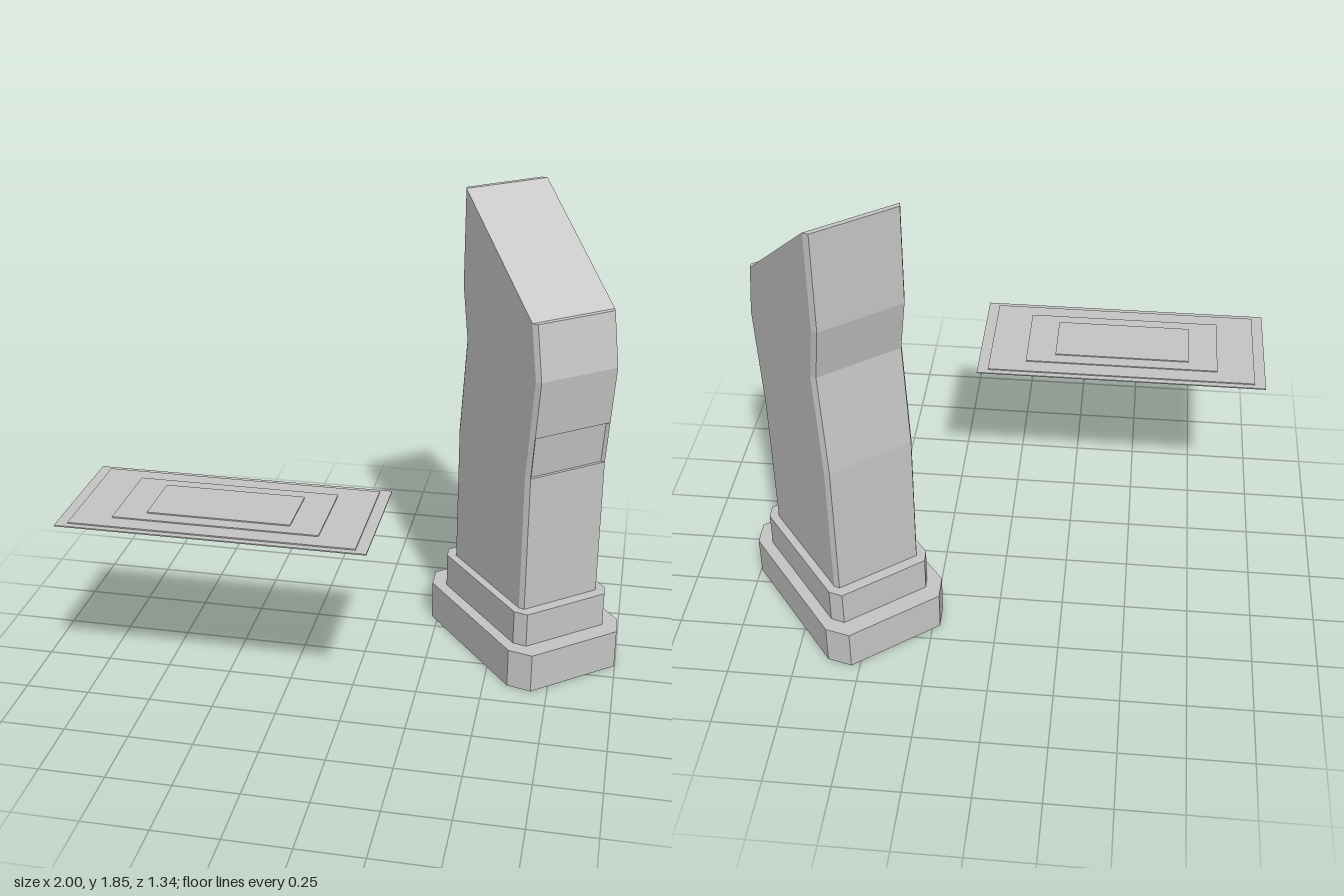
import * as THREE from 'three';

const stone = new THREE.MeshStandardMaterial({ color: 0xc6c6c6 });
stone.name = 'paleGrey';

// Chamfered rectangle, counter-clockwise from above, starting at the front edge.
// w, d: half width and half depth; a, b: half lengths of the straight edges.
function ring(w, d, a, b, y, shift = 0) {
  return [[-a, d], [a, d], [w, b], [w, -b], [a, -d], [-a, -d], [-w, -b], [-w, b]]
    .map(([x, z]) => new THREE.Vector3(x, typeof y === 'function' ? y(z) : y, z + shift));
}

// Collects flat faces, leaving out collapsed triangles
function faceBuilder() {
  const pos = [];
  const tri = (...p) => {
    if (new THREE.Triangle(...p).getArea() > 1e-7) p.forEach(v => pos.push(v.x, v.y, v.z));
  };
  const quad = (a, b, c, d) => { tri(a, b, c); tri(a, c, d); };
  const geometry = () => {
    const g = new THREE.BufferGeometry();
    g.setAttribute('position', new THREE.Float32BufferAttribute(pos, 3));
    g.computeVertexNormals();
    return g;
  };
  return { quad, geometry };
}

// Skins a stack of rings; the front face of band 'recessBand' gets a sunken panel
function loft(name, rings, recessBand = -1) {
  const { quad, geometry } = faceBuilder();
  for (let k = 0; k < rings.length - 1; k++) {
    const lo = rings[k], hi = rings[k + 1];
    for (let i = 0; i < 8; i++) {
      const j = (i + 1) % 8;
      const outer = [lo[i], lo[j], hi[j], hi[i]];
      if (k === recessBand && i === 0) {
        const inner = outer.map(p => new THREE.Vector3(p.x - Math.sign(p.x) * 0.01, p.y, p.z - 0.012));
        outer.forEach((p, n) => quad(p, outer[(n + 1) % 4], inner[(n + 1) % 4], inner[n]));
        quad(...inner);
      } else quad(...outer);
    }
  }
  const top = rings[rings.length - 1], bottom = rings[0];
  for (const f of [[7, 0, 1, 2], [7, 2, 3, 6], [6, 3, 4, 5]]) {
    quad(...f.map(i => top[i]));
    quad(...f.map(i => bottom[i]).reverse());
  }
  const mesh = new THREE.Mesh(geometry(), stone);
  mesh.name = name;
  return mesh;
}

export function createModel() {
  const model = new THREE.Group();
  model.name = 'pillarAndPanel';

  // Pillar, turned about its own axis
  const pillar = new THREE.Group();
  pillar.name = 'pillar';
  pillar.position.set(0.61, 0, -0.255);
  pillar.rotation.y = 0.669;
  model.add(pillar);

  // Stepped plinth
  pillar.add(loft('lowerPlinth', [0, 0.16].map(y => ring(0.257, 0.375, 0.198, 0.297, y))));
  pillar.add(loft('upperPlinth', [0.16, 0.3].map(y => ring(0.212, 0.303, 0.18, 0.258, y))));

  // Shaft: leans forward to a knee, returns, then ends in a slanted top
  const section = (y, shift) => ring(0.18, 0.26, 0.168, 0.24, y, shift);
  pillar.add(loft('shaft', [
    section(0.3, 0),
    section(0.86, 0),
    section(1.03, 0.017),
    section(1.26, 0.04),
    section(1.47, 0),
    section(z => (z > 0 ? 1.47 : 1.85), 0),
  ], 1));

  // Floating panel of four thin stacked layers
  const panel = new THREE.Group();
  panel.name = 'floatingPanel';
  panel.position.set(-0.432, 0.813, 0.418);
  model.add(panel);
  [[1.135, 0.505], [1.05, 0.46], [0.76, 0.33], [0.53, 0.23]].forEach(([w, d], i) => {
    const layer = new THREE.Mesh(new THREE.BoxGeometry(w, 0.0045, d), stone);
    layer.name = 'panelLayer' + (i + 1);
    layer.position.y = 0.00225 + i * 0.0045;
    panel.add(layer);
  });

  return model;
}
